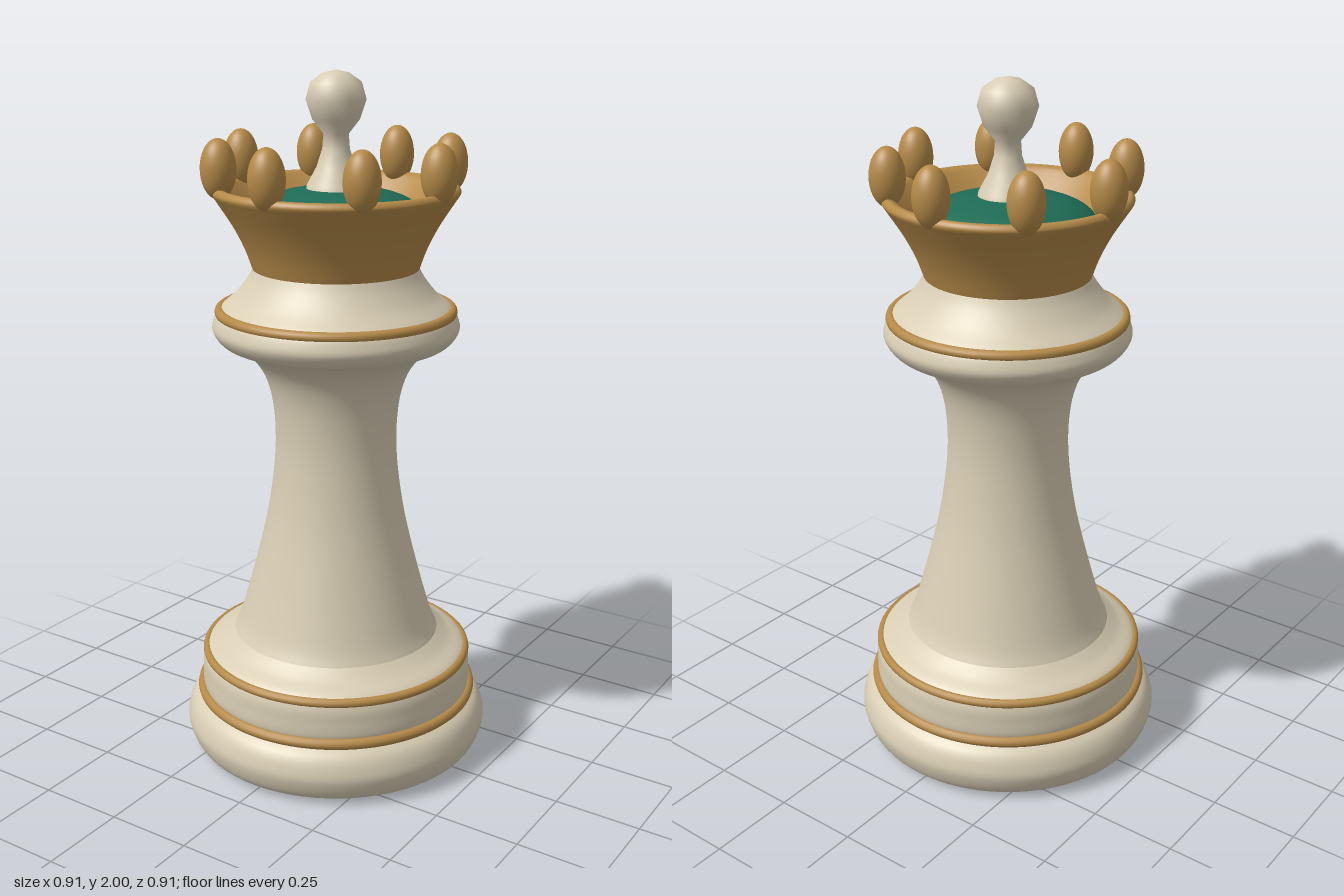
import * as THREE from 'three';

const CREAM = 0xd8cdb4, GOLD = 0xb58a48, GREEN = 0x1f6b55;

export function createModel() {
  const group = new THREE.Group();
  const material = (color) => new THREE.MeshStandardMaterial({ color, side: THREE.DoubleSide });
  const cream = material(CREAM), gold = material(GOLD), green = material(GREEN);

  const add = (name, geometry, mat, x = 0, y = 0, z = 0) => {
    const mesh = new THREE.Mesh(geometry, mat);
    mesh.name = name;
    mesh.position.set(x, y, z);
    group.add(mesh);
    return mesh;
  };
  const vectors = (points) => points.map(([r, y]) => new THREE.Vector2(r, y));
  const turned = (name, points, mat) => add(name, new THREE.LatheGeometry(vectors(points), 72), mat);
  const smoothTurned = (name, points, mat) =>
    add(name, new THREE.LatheGeometry(new THREE.SplineCurve(vectors(points)).getPoints(40), 72), mat);
  const band = (name, y, radius, tube) => {
    const geometry = new THREE.TorusGeometry(radius, tube, 12, 96).rotateX(Math.PI / 2);
    return add(name, geometry, gold, 0, y);
  };

  // Base: flat underside, rounded foot and second tier
  turned('baseUnderside', [[0, 0], [0.385, 0]], cream);
  smoothTurned('foot', [[0.385, 0], [0.43, 0.022], [0.452, 0.075], [0.448, 0.115], [0.43, 0.15], [0.395, 0.175]], cream);
  smoothTurned('lowerTier', [[0.395, 0.175], [0.404, 0.2], [0.404, 0.24], [0.401, 0.28], [0.385, 0.312], [0.34, 0.338], [0.305, 0.365]], cream);

  // Waisted stem flaring up into the collar
  smoothTurned('stem', [[0.305, 0.365], [0.282, 0.42], [0.237, 0.58], [0.198, 0.75], [0.177, 0.92],
    [0.18, 1.05], [0.2, 1.14], [0.235, 1.2], [0.28, 1.235]], cream);
  smoothTurned('collar', [[0.28, 1.235], [0.325, 1.252], [0.35, 1.285], [0.347, 1.315], [0.33, 1.345],
    [0.285, 1.385], [0.25, 1.43], [0.232, 1.465]], cream);

  // Gold bands
  band('footBand', 0.18, 0.405, 0.016);
  band('tierBand', 0.3, 0.39, 0.013);
  band('collarBand', 1.338, 0.329, 0.015);

  // Crown: flared outer wall, rounded lip and sloping inner wall
  turned('crownUnderside', [[0.2, 1.46], [0.235, 1.46]], gold);
  smoothTurned('crownWall', [[0.235, 1.46], [0.257, 1.52], [0.29, 1.585], [0.335, 1.655]], gold);
  smoothTurned('crownLip', [[0.335, 1.655], [0.346, 1.675], [0.335, 1.69], [0.315, 1.685], [0.295, 1.665]], gold);
  turned('crownInside', [[0.295, 1.665], [0.265, 1.63], [0.235, 1.585]], gold);

  // Domed cushion inside the crown
  add('cushion', new THREE.SphereGeometry(0.246, 64, 24), green, 0, 1.605).scale.y = 0.33;

  // Eight beads standing on the lip
  const beadGeometry = new THREE.SphereGeometry(0.05, 32, 24);
  for (let i = 0; i < 8; i++) {
    const angle = i * Math.PI / 4;
    add('crownBead', beadGeometry, gold, 0.326 * Math.cos(angle), 1.742, 0.326 * Math.sin(angle)).scale.y = 1.66;
  }

  // Finial with a flared neck and round knob
  turned('finial', [[0.085, 1.67], [0.08, 1.692], [0.054, 1.74], [0.038, 1.79], [0.035, 1.83],
    [0.065, 1.868], [0.083, 1.922], [0.07, 1.968], [0.036, 1.992], [0, 2]], cream);

  return group;
}
